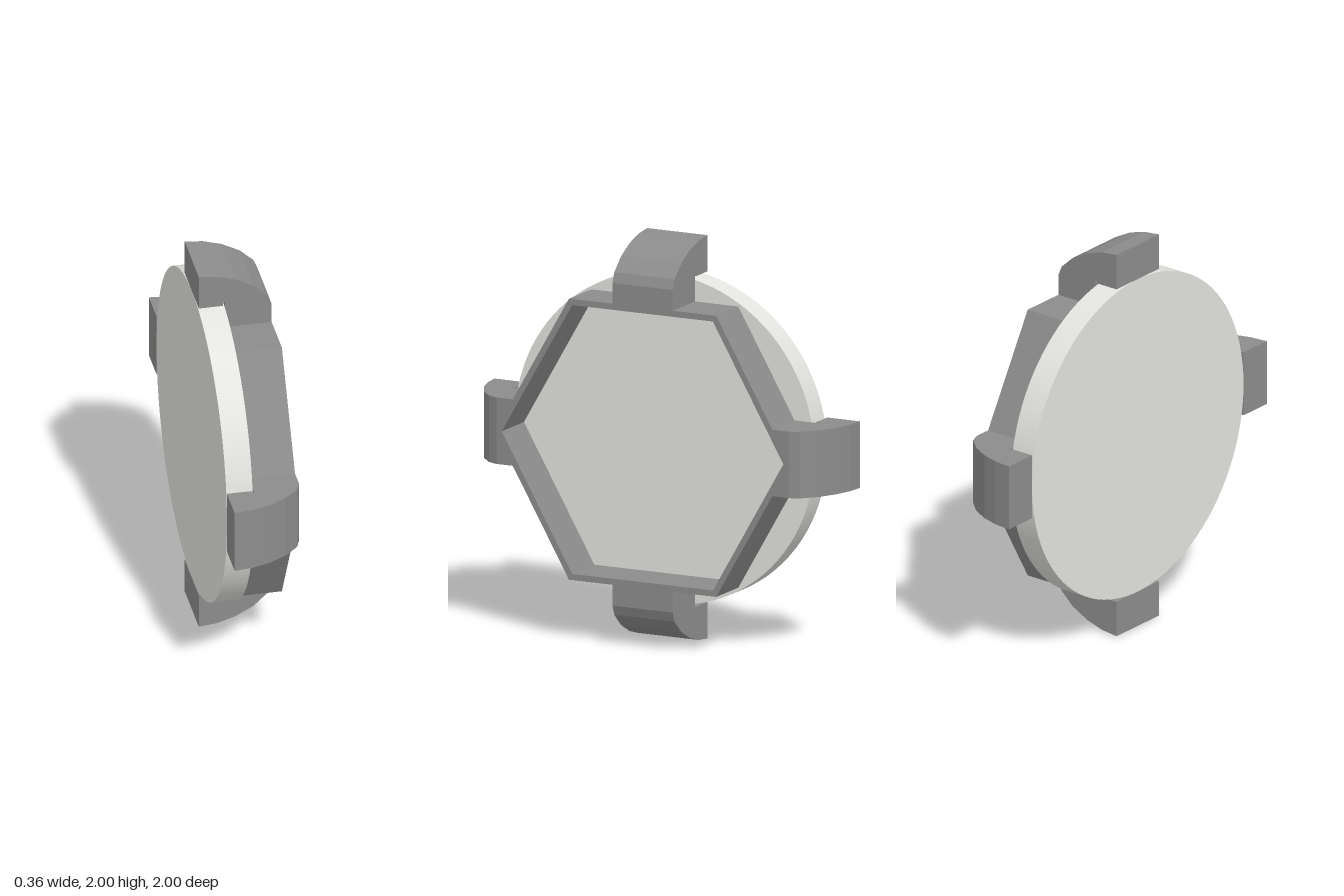
import * as THREE from 'three';

export function createModel() {
  const model = new THREE.Group();
  model.name = 'hexagonalDisc';
  const frameGrey = new THREE.MeshStandardMaterial({ color: 0x8c8c8c });
  frameGrey.name = 'frameGrey';
  const discWhite = new THREE.MeshStandardMaterial({ color: 0xe3e3df });
  discWhite.name = 'discWhite';

  const back = -0.18, mid = -0.05, front = 0.18;
  const add = (name, geometry, material) => {
    const mesh = new THREE.Mesh(geometry, material);
    mesh.name = name;
    mesh.position.y = 1;
    model.add(mesh);
    return mesh;
  };

  // Round plate, its axis along x
  const disc = new THREE.CylinderGeometry(0.82, 0.82, mid - back, 96);
  disc.rotateZ(-Math.PI / 2);
  disc.translate((back + mid) / 2, 0, 0);
  add('disc', disc, discWhite);

  // Thin hexagonal wall standing on the plate
  const hexagon = (r) => Array.from({ length: 6 }, (_, i) =>
    new THREE.Vector2(r * Math.cos(i * Math.PI / 3), r * Math.sin(i * Math.PI / 3)));
  const ring = new THREE.Shape(hexagon(0.805));
  ring.holes.push(new THREE.Path(hexagon(0.77)));
  const wall = new THREE.ExtrudeGeometry(ring, { depth: front - mid, bevelEnabled: false });
  wall.rotateY(Math.PI / 2);
  wall.translate(mid, 0, 0);
  add('hexagonWall', wall, frameGrey);

  // Claw: rounded profile; the inner end follows the flat or the corner of the wall
  function clawGeometry(inner, slope) {
    const profile = [
      [back, 0.82], [-0.06, 0.82], [-0.06, 0.84], [mid, 0.84], [mid, inner], [front, inner],
      [front, 0.8], [0.16, 0.85], [0.09, 0.915], [0, 0.963], [-0.09, 0.99], [back, 1],
    ].map(([x, r]) => new THREE.Vector2(x, r));
    const width = 0.33;
    const geometry = new THREE.ExtrudeGeometry(new THREE.Shape(profile),
      { depth: width, steps: 2, bevelEnabled: false });
    geometry.translate(0, 0, -width / 2);
    const p = geometry.attributes.position;
    for (let i = 0; i < p.count; i++) {
      if (p.getY(i) < 0.795) p.setY(i, p.getY(i) - slope * Math.abs(p.getZ(i)));
    }
    geometry.computeVertexNormals();
    return geometry;
  }
  const flatClaw = clawGeometry(0.68, 0);
  const cornerClaw = clawGeometry(0.785, 1 / Math.sqrt(3));
  ['topClaw', 'frontClaw', 'bottomClaw', 'backClaw'].forEach((name, i) => {
    const claw = add(name, i % 2 ? cornerClaw : flatClaw, frameGrey);
    claw.rotation.x = i * Math.PI / 2;
  });

  return model;
}
